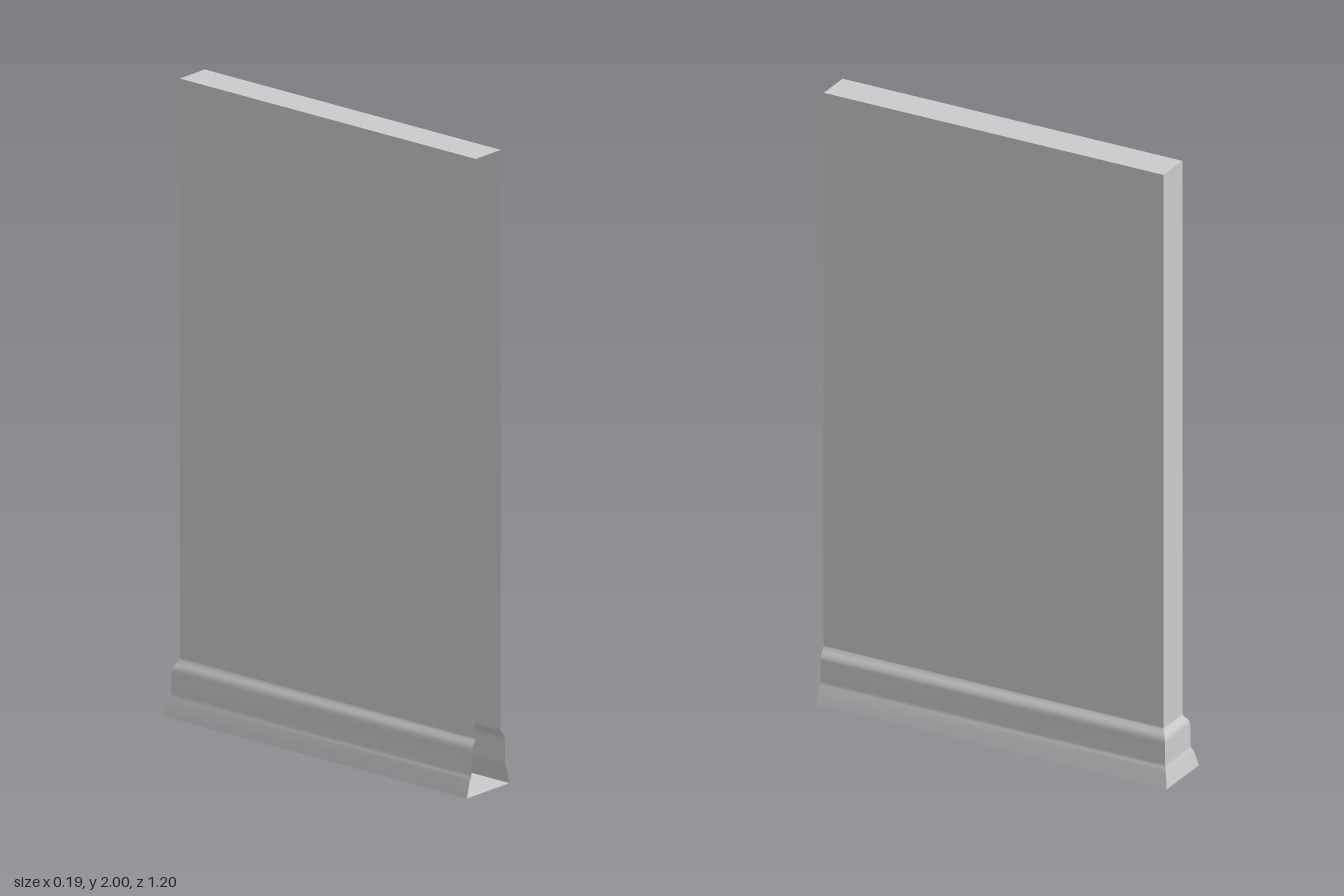
import * as THREE from 'three';

const HALF = 0.057, FRONT = 0.6, BACK = -0.567, TOP = 2, SKIRT_TOP = 0.178;

const material = new THREE.MeshStandardMaterial({ color: 0xcccccc, side: THREE.DoubleSide });

// Plan corners of the U-shaped outline (open at the front), pushed out by d
const outline = (d) => [
  [HALF + d, FRONT],
  [HALF + d, BACK - d * 0.84],
  [-HALF - d, BACK - d * 0.84],
  [-HALF - d, FRONT],
];

// One side of the U: a profile of [offset, y] swept between two neighbouring corners.
// Each side is its own geometry, so the vertical corners stay sharp.
function side(profile, i) {
  const pos = [], index = [];
  profile.forEach(([d, y], r) => {
    const plan = outline(d);
    for (const [x, z] of [plan[i], plan[i + 1]]) pos.push(x, y, z);
    if (r > 0) {
      const a = 2 * r - 2;
      index.push(a, a + 1, a + 3, a, a + 3, a + 2);
    }
  });
  const g = new THREE.BufferGeometry();
  g.setAttribute('position', new THREE.Float32BufferAttribute(pos, 3));
  g.setIndex(index);
  g.computeVertexNormals();
  return g;
}

// Flat horizontal cap over the outline at offset d
function cap(d, y, up) {
  const plan = outline(d), zBack = plan[1][1];
  const g = new THREE.PlaneGeometry(plan[0][0] * 2, FRONT - zBack);
  g.rotateX(up ? -Math.PI / 2 : Math.PI / 2);
  g.translate(0, y, (FRONT + zBack) / 2);
  return g;
}

export function createModel() {
  const model = new THREE.Group();
  model.name = 'wallSection';
  const add = (name, geometry) => {
    const mesh = new THREE.Mesh(geometry, material);
    mesh.name = name;
    model.add(mesh);
  };

  // Moulded skirting: sloping foot, small cove, upright band, rounded top
  const skirting = [
    [0.04, 0], [0.027, 0.052], [0.022, 0.06], [0.02, 0.07],
    [0.019, 0.138], [0.017, 0.15], [0.011, 0.161], [0.003, 0.17], [0, SKIRT_TOP],
  ];
  const wall = [[0, SKIRT_TOP], [0, TOP]];

  ['left', 'back', 'right'].forEach((label, i) => {
    add(label + 'Wall', side(wall, i));
    add(label + 'Skirting', side(skirting, i));
  });

  // Closed top and underside; the front end stays open
  add('wallTop', cap(0, TOP, true));
  add('underside', cap(0.04, 0, false));
  return model;
}
